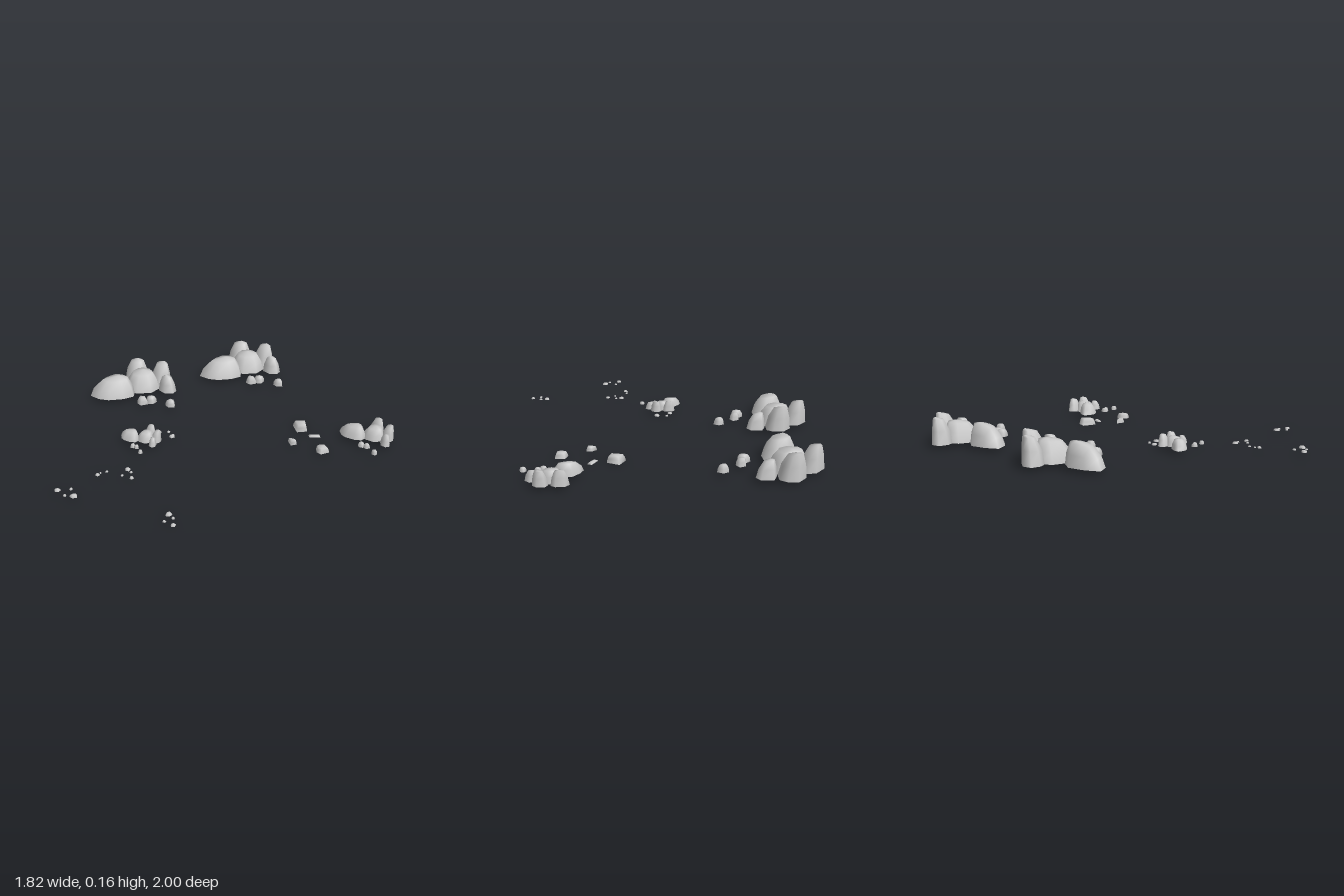
import * as THREE from 'three';

const stoneGrey = new THREE.MeshStandardMaterial({ color: 0xc8c8c8, side: THREE.DoubleSide });
stoneGrey.name = 'stone grey';

// Ring levels as [outline scale, height fraction]
const ROUND = [[1, 0], [0.92, 0.5], [0.64, 0.91]];
const TAPERED = [[1, 0], [0.84, 0.52], [0.52, 0.94]];
const CHUNKY = [[1, 0], [0.9, 0.5], [0.72, 0.92]];

// Hollow domed stone, open at the ground: an outline (clockwise from above) shrinks towards
// an anchor point as it rises. slant makes the back higher than the front. Units are hundredths.
function stone(name, outline, height, anchor, slant = 0, levels = ROUND) {
  const n = outline.length, pos = [], idx = [];
  const zs = outline.map(p => p[1]);
  const zMid = (Math.max(...zs) + Math.min(...zs)) / 2, zHalf = (Math.max(...zs) - Math.min(...zs)) / 2;
  const add = (x, z, f) => {
    const y = height * f * (1 - slant * (z - zMid) / zHalf) / (1 + slant);
    pos.push(x / 100, y / 100, z / 100);
  };
  for (const [s, f] of levels)
    for (const [x, z] of outline)
      add(anchor[0] + (x - anchor[0]) * s, anchor[1] + (z - anchor[1]) * s, f);
  const top = pos.length / 3, t = top - n;
  add(anchor[0], anchor[1], 1);
  for (let i = 0; i < n; i++) {
    const j = (i + 1) % n;
    for (let l = 0; l < levels.length - 1; l++) {
      const a = l * n + i, b = l * n + j;
      idx.push(b, a, a + n, b, a + n, b + n);
    }
    idx.push(t + j, t + i, top);
  }
  const g = new THREE.BufferGeometry();
  g.setAttribute('position', new THREE.Float32BufferAttribute(pos, 3));
  g.setIndex(idx);
  g.computeVertexNormals();
  const mesh = new THREE.Mesh(g, stoneGrey);
  mesh.name = name;
  return mesh;
}

// Small irregular five-sided pebble
function pebble(x, z, r, h, turn) {
  const outline = [];
  for (let i = 0; i < 5; i++) {
    const a = turn + i * Math.PI * 0.4, q = r * (1 + 0.13 * Math.sin(i * 2.3 + turn * 5));
    outline.push([x + Math.cos(a) * q, z + Math.sin(a) * q]);
  }
  return stone('pebble', outline, h, [x, z], 0.05);
}

// Five boulders leaning together with three pebbles in front
function cluster(name, x, z, scale, turn) {
  const g = new THREE.Group();
  g.name = name;
  g.add(
    stone('longBoulder', [[-26, 20], [-23, 13], [-17, 6], [-9, 5], [-2, 8], [-0.5, 14], [-5, 19], [-13, 23], [-19, 23]],
      12, [-11, 10.5], 0.12, [[1, 0], [0.87, 0.5], [0.56, 0.93]]),
    stone('middleBoulder', [[-10.5, -1], [-7.5, -7.5], [-2.5, -9.5], [3.5, -9], [8.5, -5], [10.5, -1], [8, 6], [0, 9.5], [-7, 7.5]],
      11.5, [0, -3], 0.07, [[1, 0], [0.89, 0.5], [0.6, 0.92]]),
    stone('backRightBoulder', [[-15.5, -10.5], [-12, -14.5], [-4, -15], [0, -12], [-1.5, -6], [-8, -4], [-13, -6]],
      14, [-7, -13], 0.04, TAPERED),
    stone('backLeftBoulder', [[2, -10.5], [4, -14.5], [11, -15], [15, -11], [15.5, -6.5], [10.5, -2], [4, -5.5]],
      14, [10, -13], 0.04, TAPERED),
    stone('sideBoulder', [[11, 1], [12.5, -3], [17.5, -5], [22, -0.5], [21, 3.5], [16, 4.5]],
      10, [15.5, -1.5], 0.05, TAPERED),
    pebble(8, 21, 3.4, 4.3, 0.2),
    pebble(12.7, 18.5, 3.1, 4.3, 0.8),
    pebble(25.5, 20, 3, 4.2, 0.5));
  g.position.set(x, 0.018, z);
  g.scale.setScalar(scale);
  g.rotation.y = -turn;
  return g;
}

export function createModel() {
  const model = new THREE.Group();
  model.name = 'scatteredRocks';

  model.add(
    cluster('backCluster', -0.1, -0.85, 1, 0),
    cluster('rightCluster', -0.65, -0.385, 1, 0),
    cluster('leftCluster', 0.806, -0.115, 0.585, 0.77),
    cluster('frontCluster', -0.386, 0.25, 0.46, 0.74));

  // Loose angular chunks lying on the ground
  const chunks = [
    stone('largeChunk', [[34.7, -16.5], [41.5, -18.5], [43.8, -11.5], [38.5, -9]], 4.3, [40.5, -14], 0.05, CHUNKY),
    stone('flatChunk', [[45.3, -6.7], [51.5, -8.5], [52.3, -6.2], [46.5, -4.8]], 0.9, [49, -6.6], 0, CHUNKY),
    stone('smallChunk', [[36, 3.8], [39.8, 4.2], [41.5, 6.4], [38.6, 8.5]], 2.6, [39, 5.8], 0, CHUNKY),
    stone('cornerChunk', [[52.3, 8.5], [56.6, 6.4], [59.8, 10.5], [56, 13.8], [53.4, 12.2]], 3.2, [56, 10], 0.05, CHUNKY)];
  const looseChunks = new THREE.Group();
  looseChunks.name = 'looseChunks';
  [0, 0.002, 0.008, 0.008].forEach((y, i) => {
    chunks[i].position.y = y;
    looseChunks.add(chunks[i]);
  });
  model.add(looseChunks);

  // Fine gravel: x, z, radius (hundredths)
  const gravel = new THREE.Group();
  gravel.name = 'gravel';
  [
    [-34.5, 15, 1.4], [-29.6, 13.2, 0.9], [-26, 17.7, 1.7],
    [-36, 57.7, 1.6], [-33.3, 59.8, 0.8], [-45.5, 62.5, 0.8], [-48, 64.6, 0.6],
    [-48.7, 66.8, 1.2], [-36.5, 64, 0.8], [-31, 65, 1.2],
    [-61.5, 85.7, 1.6], [-55.6, 82.8, 0.9], [-56, 89, 0.9], [-51.5, 88.4, 1.9],
    [-2.2, 90.8, 1.7], [0.8, 93.2, 0.9], [-2.3, 96.8, 0.9], [2.7, 98.6, 1.3],
  ].forEach(([x, z, r], i) => gravel.add(pebble(x, z, r, 0.4 + r * 0.5, i * 0.7)));
  gravel.position.y = 0.016;
  model.add(gravel);

  return model;
}
